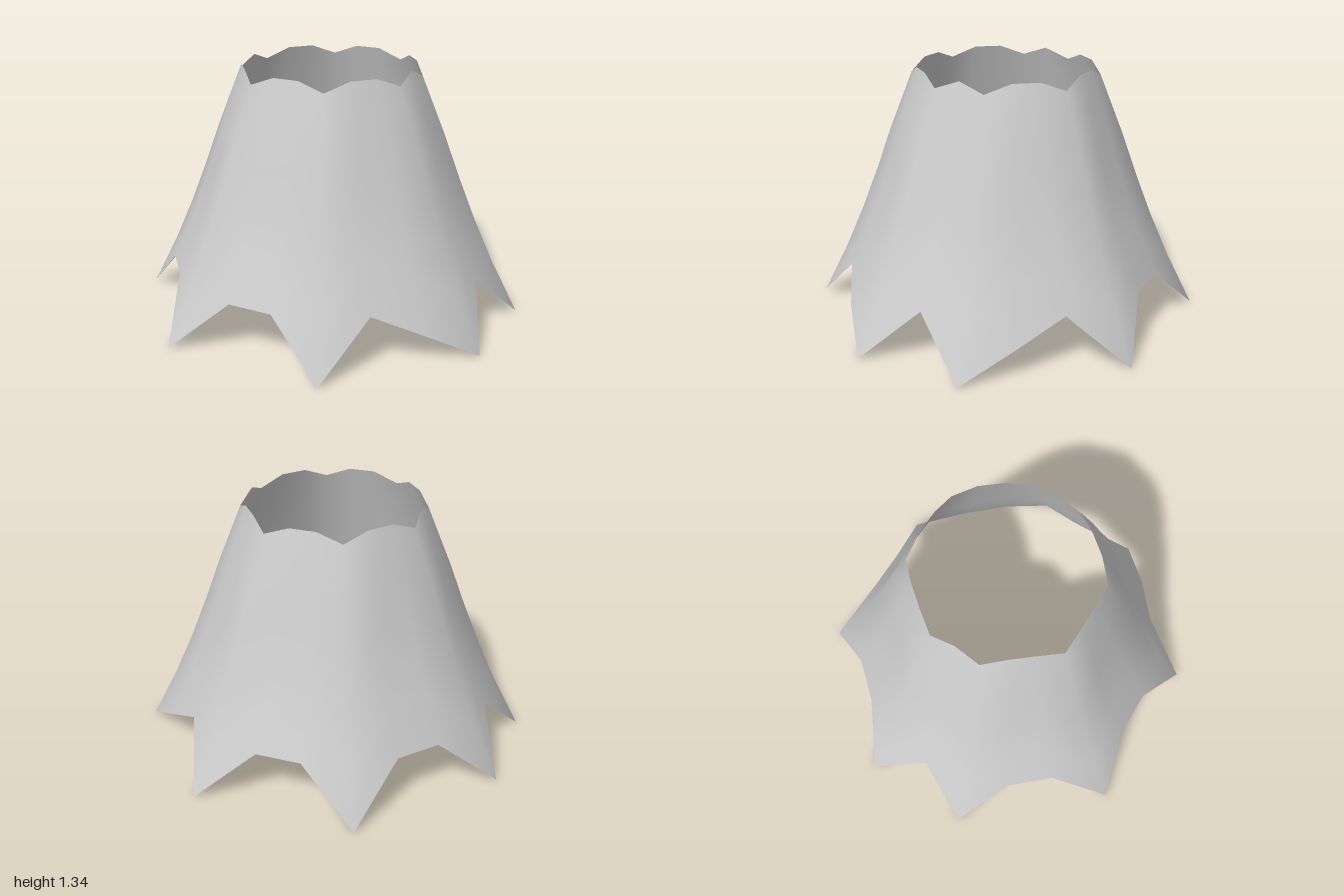
import * as THREE from 'three';

// Ribs of one quarter, from the side (+x) to the front (+z): [foot xyz, rim xyz]
const quarter = [
  [[0.86, 0.27, 0], [0.465, 1.34, 0]],
  [[1, 0, 0.29], [0.47, 1.29, 0.14]],
  [[0.78, 0.15, 0.49], [0.39, 1.34, 0.25]],
  [[0.56, 0.27, 0.645], [0.3, 1.34, 0.36]],
  [[0.43, 0, 0.945], [0.205, 1.29, 0.455]],
  [[0.12, 0.27, 0.845], [0.07, 1.34, 0.463]],
];

// Height steps along each rib, with a slight inward sag: [fraction, radial scale]
const steps = [[0, 1], [0.22, 0.975], [0.4, 0.967], [0.58, 0.972], [0.76, 0.99], [1, 1]];

const mirror = (rib, sx, sz) => rib.map(([x, y, z]) => [x * sx, y, z * sz]);

// Closed loop of ribs, mirrored left to right and front to back
function makeRibs() {
  const left = quarter.map((rib) => mirror(rib, 1, 1));
  const right = quarter.map((rib) => mirror(rib, -1, 1)).reverse();
  right[3][0] = [-0.72, 0.27, 0.465]; // the notch is wider on this side
  const front = [...left, ...right];
  const back = front.slice(1, -1).reverse().map((rib) => mirror(rib, 1, -1));
  return [...front, ...back];
}

function skirtGeometry() {
  const ribs = makeRibs();
  const positions = [];
  const index = [];
  const n = steps.length;
  ribs.forEach(([foot, rim], i) => {
    for (const [t, s] of steps) {
      const p = new THREE.Vector3(...foot).lerp(new THREE.Vector3(...rim), t);
      positions.push(p.x * s, p.y, p.z * s);
    }
    const next = (i + 1) % ribs.length;
    for (let j = 0; j < n - 1; j++) {
      const a = i * n + j;
      const b = next * n + j;
      index.push(a, a + 1, b, b, a + 1, b + 1);
    }
  });
  const geometry = new THREE.BufferGeometry();
  geometry.setAttribute('position', new THREE.Float32BufferAttribute(positions, 3));
  geometry.setIndex(index);
  geometry.computeVertexNormals();
  return geometry;
}

export function createModel() {
  const model = new THREE.Group();
  // Open flared shell with a jagged hem and a wavy top rim
  const material = new THREE.MeshStandardMaterial({ color: 0xcccccc, side: THREE.DoubleSide });
  const skirt = new THREE.Mesh(skirtGeometry(), material);
  skirt.name = 'jaggedSkirt';
  model.add(skirt);
  return model;
}
